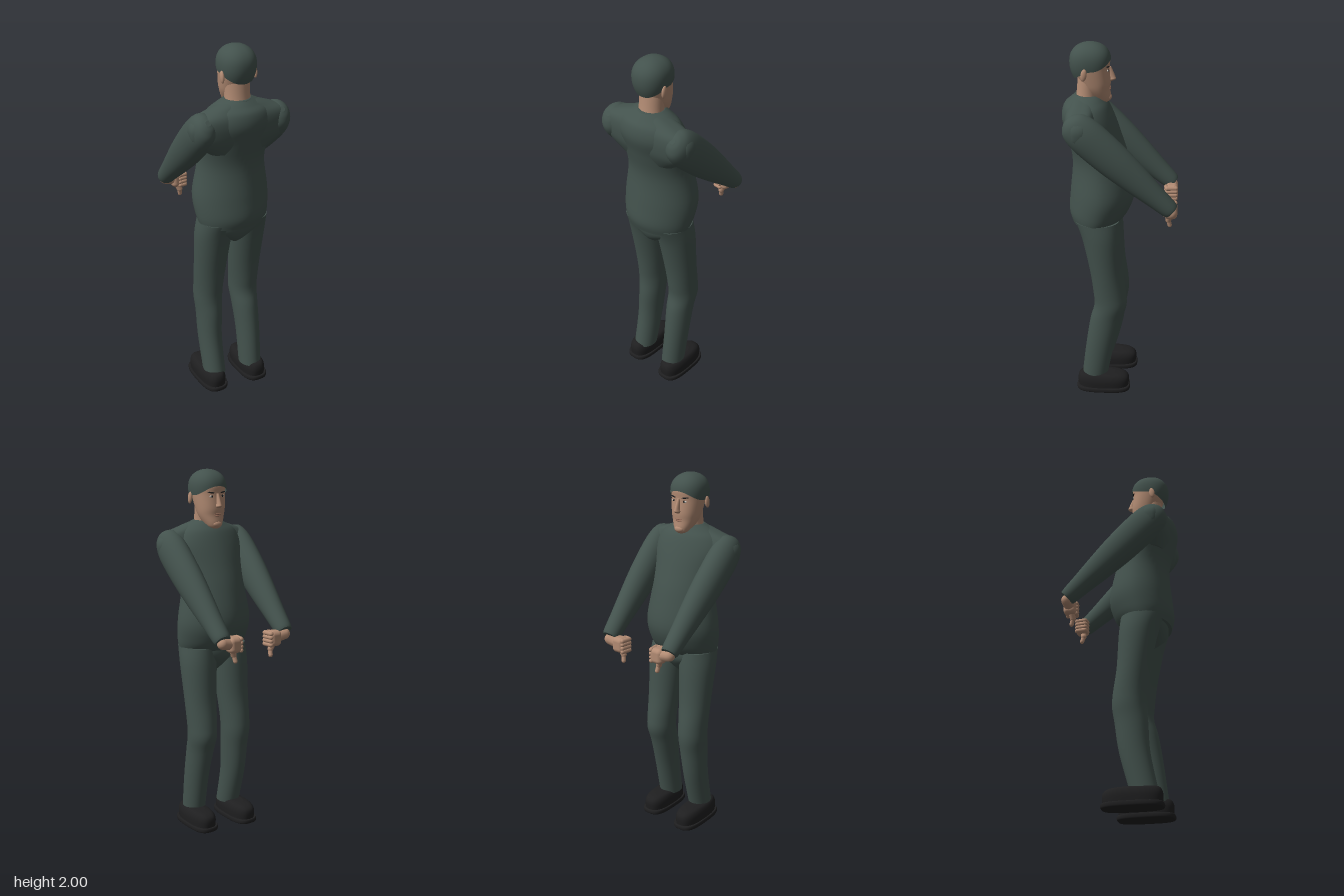
import * as THREE from 'three';
import { RoundedBoxGeometry } from 'three/addons/geometries/RoundedBoxGeometry.js';

const mat = (name, color, side = THREE.FrontSide) => {
  const m = new THREE.MeshStandardMaterial({ color, side });
  m.name = name;
  return m;
};

// Catmull-Rom blend of four section rows
const blend = (a, b, c, d, t) => b.map((p, i) =>
  p + 0.5 * t * (c[i] - a[i] + t * (2 * a[i] - 5 * p + 4 * c[i] - d[i] + t * (3 * (p - c[i]) + d[i] - a[i]))));

// Power below 1 makes a ring squarer, above 1 more pointed
const bend = (c, power) => Math.sign(c) * Math.abs(c) ** power;

// Faces joining stacked rings of n points
function ringFaces(rings, n) {
  const idx = [];
  for (let i = 0; i < rings - 1; i++) {
    for (let j = 0; j < n; j++) {
      const a = i * n + j, b = i * n + (j + 1) % n;
      idx.push(a, a + n, b, b, a + n, b + n);
    }
  }
  return idx;
}

function surface(pos, idx) {
  const g = new THREE.BufferGeometry();
  g.setAttribute('position', new THREE.Float32BufferAttribute(pos, 3));
  g.setIndex(idx);
  g.computeVertexNormals();
  return g;
}

// Smooth skin through sections [x, y, z, rx, rv], rings square to dir, ends capped
function loft(sections, { dir = new THREE.Vector3(0, 1, 0), power = 1, n = 36, steps = 5 } = {}) {
  const rows = [], last = sections.length - 1;
  for (let i = 0; i < last; i++) {
    for (let s = 0; s < steps; s++) {
      rows.push(blend(sections[Math.max(i - 1, 0)], sections[i], sections[i + 1],
        sections[Math.min(i + 2, last)], s / steps));
    }
  }
  rows.push(sections[last]);
  const v = new THREE.Vector3(1, 0, 0).cross(dir);
  const pos = [];
  const ring = ([x, y, z, rx, rv]) => {
    for (let j = 0; j < n; j++) {
      const a = (j / n) * Math.PI * 2, cu = bend(Math.cos(a), power) * rx, cv = bend(Math.sin(a), power) * rv;
      pos.push(x + cu, y + v.y * cv, z + v.z * cv);
    }
  };
  rows.forEach(ring);
  const idx = ringFaces(rows.length, n);
  for (const [row, top] of [[rows[0], false], [rows[rows.length - 1], true]]) {
    const start = pos.length / 3;
    ring(row);
    pos.push(row[0], row[1], row[2]);
    for (let j = 0; j < n; j++) {
      const a = start + j, b = start + (j + 1) % n;
      idx.push(start + n, top ? b : a, top ? a : b);
    }
  }
  return surface(pos, idx);
}

// Section from height, front z, back z and x range
const slab = (y, zf, zb, x0, x1) => [(x0 + x1) / 2, y, (zf + zb) / 2, (x1 - x0) / 2, (zb - zf) / 2];
const level = (y, zf, zb, rx) => slab(y, zf, zb, -rx, rx);

// Hair dome with a hairline that drops from forehead to nape
function hairGeometry(n = 48, m = 18) {
  const pos = [];
  for (let i = 0; i <= m; i++) {
    for (let j = 0; j < n; j++) {
      const a = (j / n) * Math.PI * 2, s = Math.sin(a);
      const low = s < 0 ? 1.865 + 0.05 * s * s : 1.865 - 0.05 * s;
      const y = low + (2 - low) * Math.sin((i / m) * Math.PI / 2);
      const h = (y - 1.9) / 0.1;
      const k = h > 0 ? Math.sqrt(Math.max(0, 1 - h ** 2.4)) : 1 - 0.3 * h * h;
      pos.push(bend(Math.cos(a), 0.88) * 0.096 * k, y, 0.158 + bend(s, 0.88) * 0.107 * k);
    }
  }
  return surface(pos, ringFaces(m + 1, n));
}

export function createModel() {
  const root = new THREE.Group();
  const suit = mat('dark green cloth', 0x43524d, THREE.DoubleSide);
  const skin = mat('skin', 0xb38c74);
  const lip = mat('lips', 0x966c5a);
  const black = mat('black leather', 0x1f1f20);
  const white = mat('eye white', 0xc9c4bc);

  const add = (name, geo, material, parent = root) => {
    const m = new THREE.Mesh(geo, material);
    m.name = name;
    parent.add(m);
    return m;
  };
  const ball = (name, material, p, s) => {
    const m = add(name, new THREE.SphereGeometry(1, 20, 14), material);
    m.position.set(...p);
    m.scale.set(...s);
    return m;
  };
  const rod = (name, a, b, r, parent) => {
    const from = new THREE.Vector3(...a), to = new THREE.Vector3(...b), d = to.clone().sub(from);
    const m = add(name, new THREE.CapsuleGeometry(r, d.length(), 5, 12), skin, parent);
    m.position.copy(from).add(to).multiplyScalar(0.5);
    m.quaternion.setFromUnitVectors(new THREE.Vector3(0, 1, 0), d.normalize());
  };

  // Torso, sloping shoulders, pelvis and collar
  add('sweater', loft([
    level(1.03, 0.0, 0.265, 0.19), level(1.09, -0.045, 0.28, 0.205), level(1.2, -0.075, 0.272, 0.212),
    level(1.37, -0.045, 0.258, 0.187), level(1.5, -0.005, 0.282, 0.195), level(1.6, 0.03, 0.309, 0.21),
    level(1.67, 0.06, 0.3, 0.18), level(1.705, 0.085, 0.268, 0.125), level(1.73, 0.105, 0.24, 0.072),
  ], { n: 48, power: 1.06 }), suit);
  add('shoulders', loft([
    level(1.46, 0.13, 0.25, 0.17), level(1.53, 0.11, 0.278, 0.265), level(1.59, 0.105, 0.287, 0.287),
    level(1.635, 0.11, 0.286, 0.278), level(1.665, 0.12, 0.278, 0.245), level(1.69, 0.125, 0.262, 0.175),
    level(1.712, 0.135, 0.245, 0.11), level(1.728, 0.15, 0.22, 0.06),
  ], { n: 48, power: 0.75 }), suit);
  add('trouserSeat', loft([
    level(0.91, 0.07, 0.17, 0.02), level(0.95, 0.03, 0.215, 0.08), level(1.0, 0.0, 0.24, 0.17),
    level(1.06, 0.0, 0.25, 0.187),
  ]), suit);
  const collar = add('collar', new THREE.TorusGeometry(0.067, 0.007, 8, 36), suit);
  collar.rotation.x = Math.PI / 2;
  collar.position.set(0, 1.723, 0.172);

  // Neck and head
  add('neck', loft([level(1.68, 0.115, 0.24, 0.07), level(1.75, 0.11, 0.23, 0.067),
    level(1.84, 0.1, 0.222, 0.07)]), skin);
  add('head', loft([
    level(1.69, 0.068, 0.1, 0.02), level(1.7, 0.057, 0.135, 0.038), level(1.722, 0.053, 0.165, 0.052),
    level(1.76, 0.056, 0.195, 0.069), level(1.8, 0.053, 0.215, 0.078), level(1.87, 0.058, 0.242, 0.087),
    level(1.92, 0.057, 0.252, 0.088), level(1.96, 0.085, 0.23, 0.066), level(1.985, 0.13, 0.19, 0.028),
  ], { power: 0.92 }), skin);
  add('hair', hairGeometry(), suit);
  add('nose', loft([
    level(1.8, 0.045, 0.07, 0.01), level(1.81, 0.027, 0.07, 0.016), level(1.825, 0.03, 0.07, 0.012),
    level(1.875, 0.051, 0.07, 0.008),
  ], { n: 16 }), skin);
  ball('upperLip', lip, [0, 1.767, 0.059], [0.024, 0.004, 0.007]);
  ball('lowerLip', lip, [0, 1.759, 0.059], [0.02, 0.004, 0.007]);
  ball('chin', skin, [0, 1.714, 0.064], [0.028, 0.018, 0.016]);

  for (const s of [1, -1]) {
    const side = s > 0 ? 'left' : 'right';

    // Face details
    ball(side + 'Eye', white, [s * 0.034, 1.862, 0.067], [0.013, 0.006, 0.006]);
    ball(side + 'Iris', black, [s * 0.033, 1.862, 0.063], [0.006, 0.006, 0.004]);
    const brow = ball(side + 'Brow', black, [s * 0.037, 1.882, 0.066], [0.02, 0.004, 0.006]);
    brow.rotation.set(0, -s * 0.25, s * 0.12);
    const ear = ball(side + 'Ear', skin, [s * 0.094, 1.85, 0.184], [0.01, 0.032, 0.016]);
    ear.rotation.x = -0.15;

    // Sleeve running forward and down from the shoulder
    const dir = new THREE.Vector3(0, -0.44, -0.48).normalize();
    const arm = [[-0.09, 0.015, 0.015], [-0.078, 0.04, 0.045], [-0.045, 0.062, 0.078], [0.02, 0.074, 0.095],
      [0.12, 0.075, 0.097], [0.25, 0.072, 0.091], [0.38, 0.064, 0.078], [0.52, 0.054, 0.06],
      [0.615, 0.048, 0.049], [0.64, 0.043, 0.042]];
    add(side + 'Sleeve', loft(arm.map(([t, rx, rv]) => [
      s * (0.213 - 0.025 * Math.max(0, t - 0.1)), 1.595 + dir.y * t, 0.195 + dir.z * t, rx, rv,
    ]), { dir }), suit);

    // Fist turned inward with the thumb pointing down
    const hand = new THREE.Group();
    hand.name = side + 'Hand';
    root.add(hand);
    rod('wrist', [s * 0.2, 1.15, -0.275], [s * 0.15, 1.14, -0.272], 0.031, hand);
    add('palm', new RoundedBoxGeometry(0.075, 0.085, 0.07, 4, 0.024), skin, hand)
      .position.set(s * 0.13, 1.135, -0.272);
    for (let i = 0; i < 4; i++) {
      const y = 1.105 + i * 0.02;
      rod('finger', [s * 0.098, y, -0.294], [s * 0.092, y, -0.247], 0.0125, hand);
      rod('fingertip', [s * 0.095, y, -0.243], [s * 0.125, y, -0.24], 0.011, hand);
    }
    rod('thumbBase', [s * 0.135, 1.11, -0.266], [s * 0.12, 1.075, -0.26], 0.016, hand);
    rod('thumbTip', [s * 0.12, 1.075, -0.26], [s * 0.115, 1.043, -0.268], 0.012, hand);

    // Trouser leg, the right shin set a little further forward
    const f = s > 0 ? 0 : -0.03;
    const leg = [
      [0.085, 0.07 + f / 2, 0.215 + f / 2, 0.052, 0.175], [0.29, 0.03 + f, 0.19 + f, 0.05, 0.18],
      [0.45, -0.01 + f / 2, 0.165 + f / 2, 0.04, 0.183], [0.54, -0.038, 0.142, 0.034, 0.19],
      [0.62, -0.034, 0.146, 0.03, 0.192], [0.76, -0.015, 0.165, 0.018, 0.198],
      [0.95, -0.005, 0.205, 0.003, 0.204], [1.05, 0.005, 0.24, 0.003, 0.195],
    ];
    add(side + 'TrouserLeg', loft(leg.map(([y, zf, zb, a, b]) =>
      slab(y, zf, zb, s > 0 ? a : -b, s > 0 ? b : -a))), suit);

    // Shoe: thin projecting sole and rounded upper
    const z = s > 0 ? 0.092 : 0.07, x = s * 0.125, len = s > 0 ? 0.153 : 0.16;
    add(side + 'Sole', loft([[x, 0, z, 0.072, len - 0.004], [x, 0.006, z, 0.075, len],
      [x, 0.02, z, 0.075, len], [x, 0.025, z, 0.072, len - 0.004]], { power: 0.65, steps: 2 }), black);
    add(side + 'Shoe', loft([[x, 0.02, z, 0.066, len - 0.01], [x, 0.06, z, 0.067, len - 0.006],
      [x, 0.085, z + 0.002, 0.061, len - 0.012], [x, 0.1, z + 0.01, 0.05, len - 0.03],
      [x, 0.106, z + 0.025, 0.03, len - 0.06]], { power: 0.75 }), black);
  }
  return root;
}
